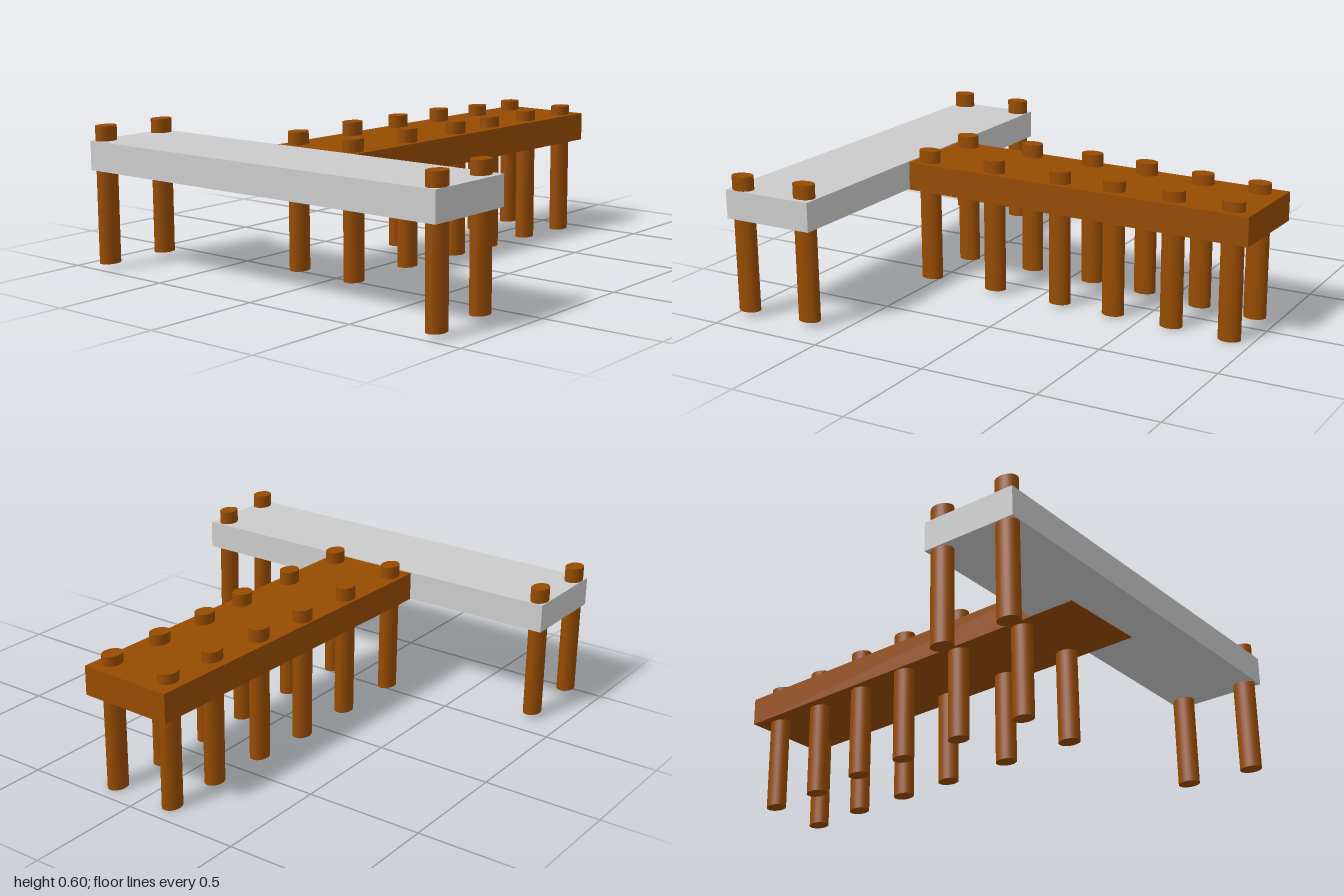
import * as THREE from 'three';

export function createModel() {
  const group = new THREE.Group();
  const grey = new THREE.MeshStandardMaterial({ color: 0xcccccc });
  const brown = new THREE.MeshStandardMaterial({ color: 0x964b00 });

  const add = (name, geometry, material, x, y, z) => {
    const mesh = new THREE.Mesh(geometry, material);
    mesh.name = name;
    mesh.position.set(x, y, z);
    group.add(mesh);
    return mesh;
  };

  // Cross platform at the end of the pier
  add('crossPlatform', new THREE.BoxGeometry(0.405, 0.122, 1.78), grey, -0.7975, 0.478, 0);

  // Long walkway, slightly askew and running under the platform
  const walkway = add('walkway', new THREE.BoxGeometry(1.8, 0.122, 0.41), brown, 0.094, 0.474, -0.016);
  walkway.rotation.y = -0.028;

  // Oval posts poking through the decks
  const postHeight = 0.575;
  const postGeometry = new THREE.CylinderGeometry(1, 1, postHeight, 24);
  postGeometry.scale(0.048, 1, 0.037);
  const addPosts = (name, posts) => {
    for (const [x, z, foot] of posts) {
      add(name, postGeometry, brown, x, foot + postHeight / 2, z);
    }
  };

  // Posts as [x, z, foot height]
  addPosts('platformPost', [
    [-0.948, -0.852, 0.026], [-0.647, -0.85, 0.023],
    [-0.941, 0.852, 0.022], [-0.652, 0.83, 0.022],
  ]);
  addPosts('walkwayBackPost', [
    [-0.515, -0.184, 0.013], [-0.184, -0.179, 0.017], [0.115, -0.174, 0.013],
    [0.38, -0.155, 0.014], [0.645, -0.134, 0.005], [0.896, -0.128, 0.002],
  ]);
  addPosts('walkwayFrontPost', [
    [-0.523, 0.115, 0.012], [-0.195, 0.126, 0.016], [0.123, 0.134, 0.012],
    [0.372, 0.131, 0.005], [0.64, 0.139, 0.004], [0.9, 0.152, 0],
  ]);

  return group;
}
